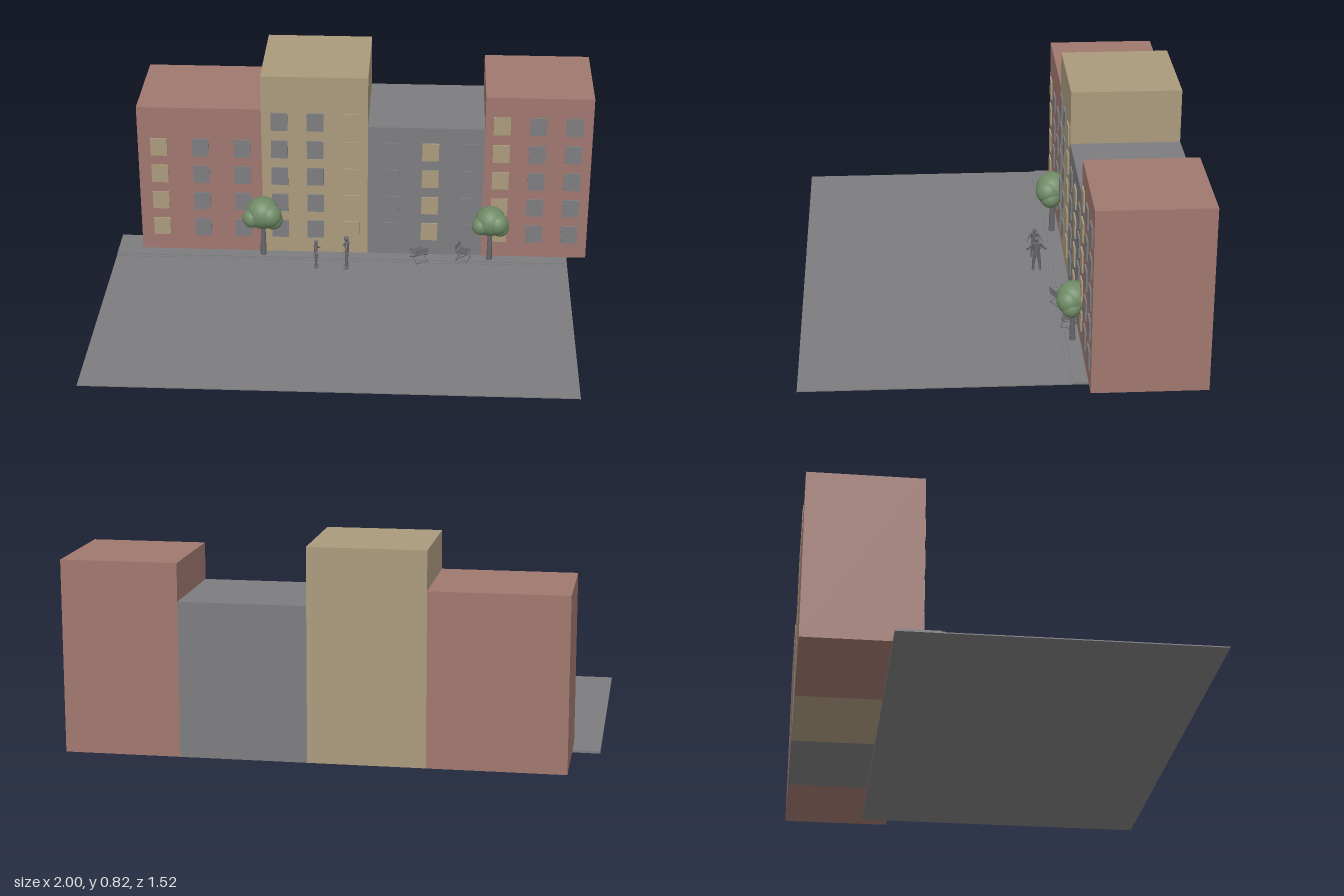
import * as THREE from 'three';

const mat = (name, color) => Object.assign(new THREE.MeshStandardMaterial({ color }), { name });

export function createModel() {
  const red = mat('brick red', 0xa0786f);
  const tan = mat('sand', 0xab9b7d);
  const grey = mat('plain grey', 0x7d7d80);
  const green = mat('leaf green', 0x6f8a66);
  const dark = mat('dark grey', 0x68686b);

  const model = new THREE.Group();
  model.name = 'streetScene';

  const group = (name, parent = model) => {
    const g = new THREE.Group();
    g.name = name;
    parent.add(g);
    return g;
  };
  const add = (parent, name, geometry, material, x = 0, y = 0, z = 0) => {
    const m = new THREE.Mesh(geometry, material);
    m.name = name;
    m.position.set(x, y, z);
    parent.add(m);
    return m;
  };
  // Box given by its limits on each axis
  const block = (parent, name, material, x0, x1, y0, y1, z0, z1) =>
    add(parent, name, new THREE.BoxGeometry(x1 - x0, y1 - y0, z1 - z0), material,
      (x0 + x1) / 2, (y0 + y1) / 2, (z0 + z1) / 2);
  // Round bar between two points
  const bar = (parent, name, material, a, b, r0, r1 = r0) => {
    const p = new THREE.Vector3(...a), q = new THREE.Vector3(...b);
    const d = q.clone().sub(p);
    const m = add(parent, name, new THREE.CylinderGeometry(r1, r0, d.length(), 8), material);
    m.position.copy(p).add(q).multiplyScalar(0.5);
    m.quaternion.setFromUnitVectors(new THREE.Vector3(0, 1, 0), d.normalize());
    return m;
  };

  // Ground: road, curb and raised pavement
  const ground = group('ground');
  block(ground, 'road', grey, -1, 0.92, 0, 0.004, -0.25, 0.76);
  block(ground, 'curb', grey, -1, 0.92, 0, 0.006, -0.265, -0.25);
  block(ground, 'pavement', grey, -1, 0.92, 0, 0.009, -0.43, -0.265);

  // Row of houses, each with columns of windows: [x, material]
  const front = -0.32;
  const rows = [0.12, 0.245, 0.37, 0.495, 0.622];
  const houses = [
    ['leftHouse', red, -0.895, -0.375, 0.675, 4, [[-0.807, tan], [-0.631, grey], [-0.457, grey]]],
    ['tallHouse', tan, -0.375, 0.07, 0.825, 5, [[-0.3, grey], [-0.15, grey], [0, tan]]],
    ['lowHouse', grey, 0.07, 0.555, 0.605, 4, [[0.165, grey], [0.332, tan], [0.497, grey]]],
    ['rightHouse', red, 0.555, 1, 0.75, 5, [[0.625, tan], [0.775, grey], [0.925, grey]]],
  ];
  const pane = new THREE.BoxGeometry(0.07, 0.08, 0.008);
  for (const [name, material, x0, x1, height, floors, columns] of houses) {
    const house = group(name);
    block(house, 'walls', material, x0, x1, 0.009, height, -0.76, front);
    for (const [x, paint] of columns)
      for (const y of rows.slice(0, floors)) add(house, 'window', pane, paint, x, y, front + 0.002);
  }

  // Trees with a tapered trunk and a crown of overlapping spheres
  const makeTree = (x, z, size, turn) => {
    const tree = group('tree');
    tree.position.set(x, 0.006, z);
    tree.scale.setScalar(size);
    bar(tree, 'trunk', dark, [0, 0, 0], [0, 0.18, 0], 0.013, 0.009);
    const crown = group('crown', tree);
    crown.scale.x = turn;
    for (const [bx, by, bz, r] of [
      [0, 0.203, 0, 0.07], [-0.043, 0.188, 0.022, 0.042],
      [0.044, 0.176, 0.012, 0.042], [0.03, 0.2, 0.02, 0.052], [0.01, 0.165, -0.03, 0.035],
    ]) add(crown, 'foliage', new THREE.SphereGeometry(r, 24, 16), green, bx, by, bz);
  };
  makeTree(-0.373, -0.29, 1, 1);
  makeTree(0.59, -0.29, 0.92, 1);

  // People facing local +z, unit height 0.15, arms held out and forward
  const makePerson = (x, z, turn, size) => {
    const person = group('person');
    person.position.set(x, 0.004, z);
    person.rotation.y = turn;
    person.scale.setScalar(size);
    const head = add(person, 'head', new THREE.SphereGeometry(0.01, 12, 8), dark, 0, 0.139, 0.002);
    head.scale.y = 1.2;
    bar(person, 'neck', dark, [0, 0.12, 0], [0, 0.132, 0.001], 0.004);
    const torso = bar(person, 'torso', dark, [0, 0.072, 0], [0, 0.123, 0], 0.012, 0.018);
    torso.scale.z = 0.6;
    for (const s of [-1, 1]) {
      bar(person, 'thigh', dark, [s * 0.008, 0.076, 0], [s * 0.012, 0.04, 0.002], 0.008, 0.006);
      bar(person, 'shin', dark, [s * 0.012, 0.04, 0.002], [s * 0.014, 0.004, -0.002], 0.006, 0.004);
      block(person, 'foot', dark, s * 0.015 - 0.004, s * 0.015 + 0.004, 0, 0.006, -0.007, 0.014);
      bar(person, 'upperArm', dark, [s * 0.016, 0.119, 0], [s * 0.03, 0.1, 0.002], 0.005, 0.004);
      bar(person, 'forearm', dark, [s * 0.03, 0.1, 0.002], [s * 0.041, 0.086, 0.018], 0.004, 0.003);
    }
  };
  makePerson(-0.143, -0.197, Math.PI / 2, 0.85);
  makePerson(-0.012, -0.197, -Math.PI / 2, 1);

  // Folding chairs facing local +z
  const makeChair = (x, z, turn, depth) => {
    const chair = group('foldingChair');
    chair.position.set(x, 0.009, z);
    chair.rotation.y = turn;
    const d = depth / 2, w = 0.025;
    for (let i = 0; i < 5; i++) {
      const sz = -d + (i + 0.5) * depth / 5;
      block(chair, 'seatSlat', dark, -w, w, 0.037, 0.041, sz - depth / 13, sz + depth / 13);
    }
    for (const y of [0.052, 0.062]) block(chair, 'backSlat', dark, -w, w, y, y + 0.006, -d - 0.004, -d);
    for (const s of [-w, w]) {
      bar(chair, 'backPost', dark, [s, 0.037, -d + 0.003], [s, 0.07, -d - 0.003], 0.002);
      bar(chair, 'frontLeg', dark, [s, 0.037, -d], [s, 0, d], 0.002);
      bar(chair, 'rearLeg', dark, [s, 0.037, d], [s, 0, -d], 0.002);
    }
    for (const s of [-d, d]) bar(chair, 'footRail', dark, [-w, 0.003, s], [w, 0.003, s], 0.002);
  };
  makeChair(0.29, -0.272, -2.7, 0.07);
  makeChair(0.48, -0.287, 1.2, 0.05);

  return model;
}
